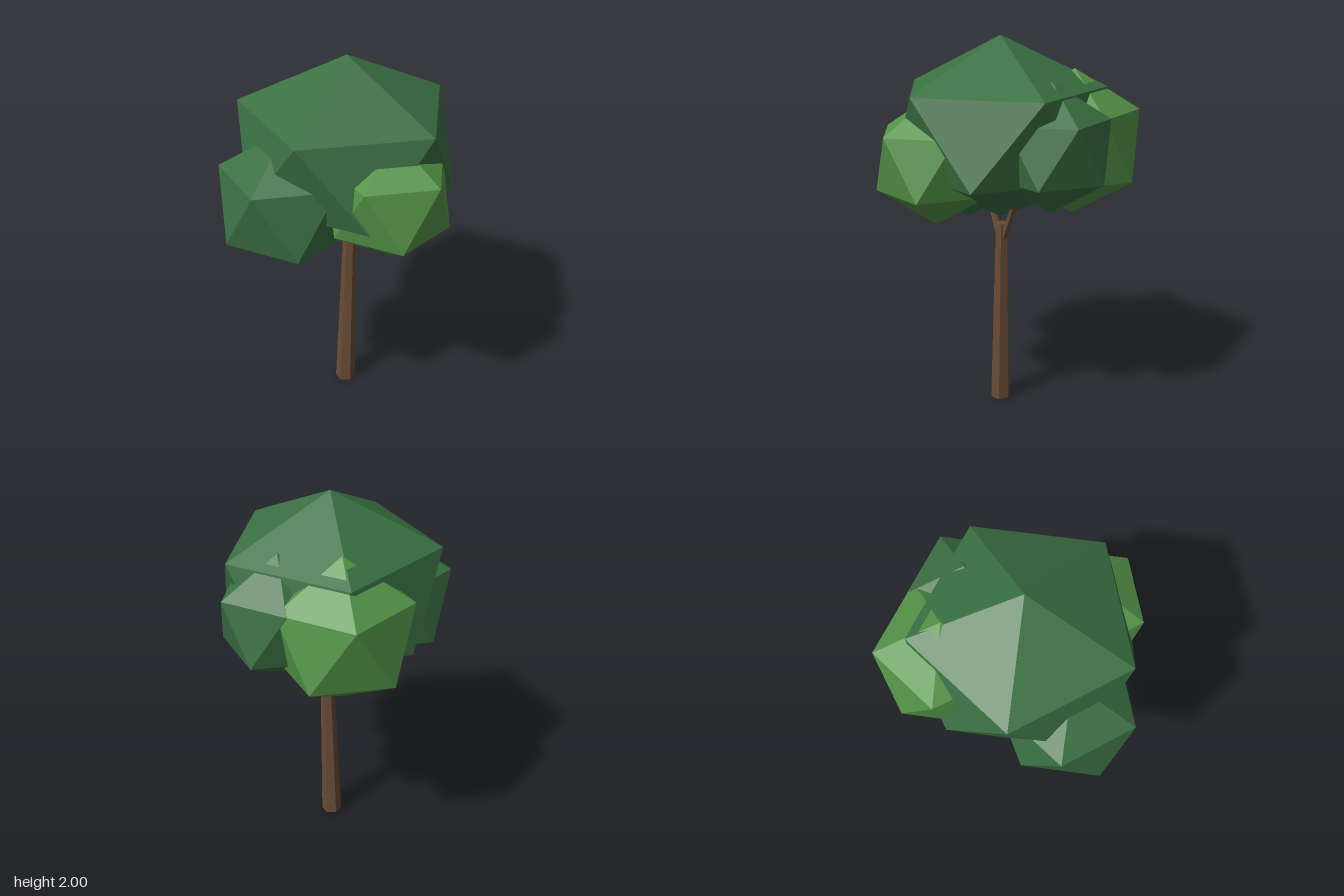
import * as THREE from 'three';

const material = (name, color) => {
  const m = new THREE.MeshStandardMaterial({ color, flatShading: true });
  m.name = name;
  return m;
};

// Twenty-sided ball with a corner straight up and one upper corner towards +x
function leafBall(radius, height) {
  const up = height / Math.sqrt(5), ring = radius * 2 / Math.sqrt(5);
  const corner = (step, y) => {
    const a = step * Math.PI / 5;
    return [ring * Math.cos(a), y, ring * Math.sin(a)];
  };
  const top = [0, height, 0], bottom = [0, -height, 0], points = [];
  for (let i = 0; i < 5; i++) {
    const u0 = corner(2 * i, up), u1 = corner(2 * i + 2, up);
    const l0 = corner(2 * i + 1, -up), l1 = corner(2 * i + 3, -up);
    points.push(top, u1, u0, u0, u1, l0, u1, l1, l0, bottom, l0, l1);
  }
  const g = new THREE.BufferGeometry();
  g.setAttribute('position', new THREE.Float32BufferAttribute(points.flat(), 3));
  g.computeVertexNormals();
  return g;
}

// Six-sided limb leaning from one point to another, with level ends
function limb(from, to, r0, r1) {
  const [dx, h, dz] = to.map((v, i) => v - from[i]);
  const g = new THREE.CylinderGeometry(r1, r0, h, 6).translate(0, h / 2, 0);
  const p = g.attributes.position;
  for (let i = 0; i < p.count; i++) {
    const t = p.getY(i) / h;
    p.setXYZ(i, p.getX(i) + from[0] + dx * t, p.getY(i) + from[1], p.getZ(i) + from[2] + dz * t);
  }
  g.computeVertexNormals();
  return g;
}

export function createModel() {
  const tree = new THREE.Group();
  tree.name = 'tree';
  const bark = material('bark brown', 0x694c35);
  const dark = material('dark leaf green', 0x3a7042);
  const light = material('light leaf green', 0x549448);
  const add = (name, geometry, mat, pos = [0, 0, 0]) => {
    const mesh = new THREE.Mesh(geometry, mat);
    mesh.name = name;
    mesh.position.set(...pos);
    tree.add(mesh);
  };

  // Trunk and its fork
  add('trunk', limb([0.03, 0, 0.01], [0.054, 1.03, 0.01], 0.056, 0.035), bark);
  add('rightBranch', limb([0.052, 0.92, 0.01], [-0.075, 1.25, 0.06], 0.022, 0.016), bark);
  add('leftBranch', limb([0.056, 0.92, 0.01], [0.18, 1.27, -0.045], 0.022, 0.016), bark);

  // Crown: a flattened main ball with four smaller ones around it
  add('crown', leafBall(0.615, 0.47), dark, [0.03, 1.53, 0.01]);
  add('rightFoliage', leafBall(0.376, 0.37), dark, [-0.33, 1.337, 0.06]);
  add('leftFoliage', leafBall(0.323, 0.323), dark, [0.372, 1.48, -0.12]);
  add('frontFoliage', leafBall(0.337, 0.335), light, [0.065, 1.4, 0.37]);
  add('backFoliage', leafBall(0.38, 0.38), light, [0.155, 1.455, -0.345]);
  return tree;
}
